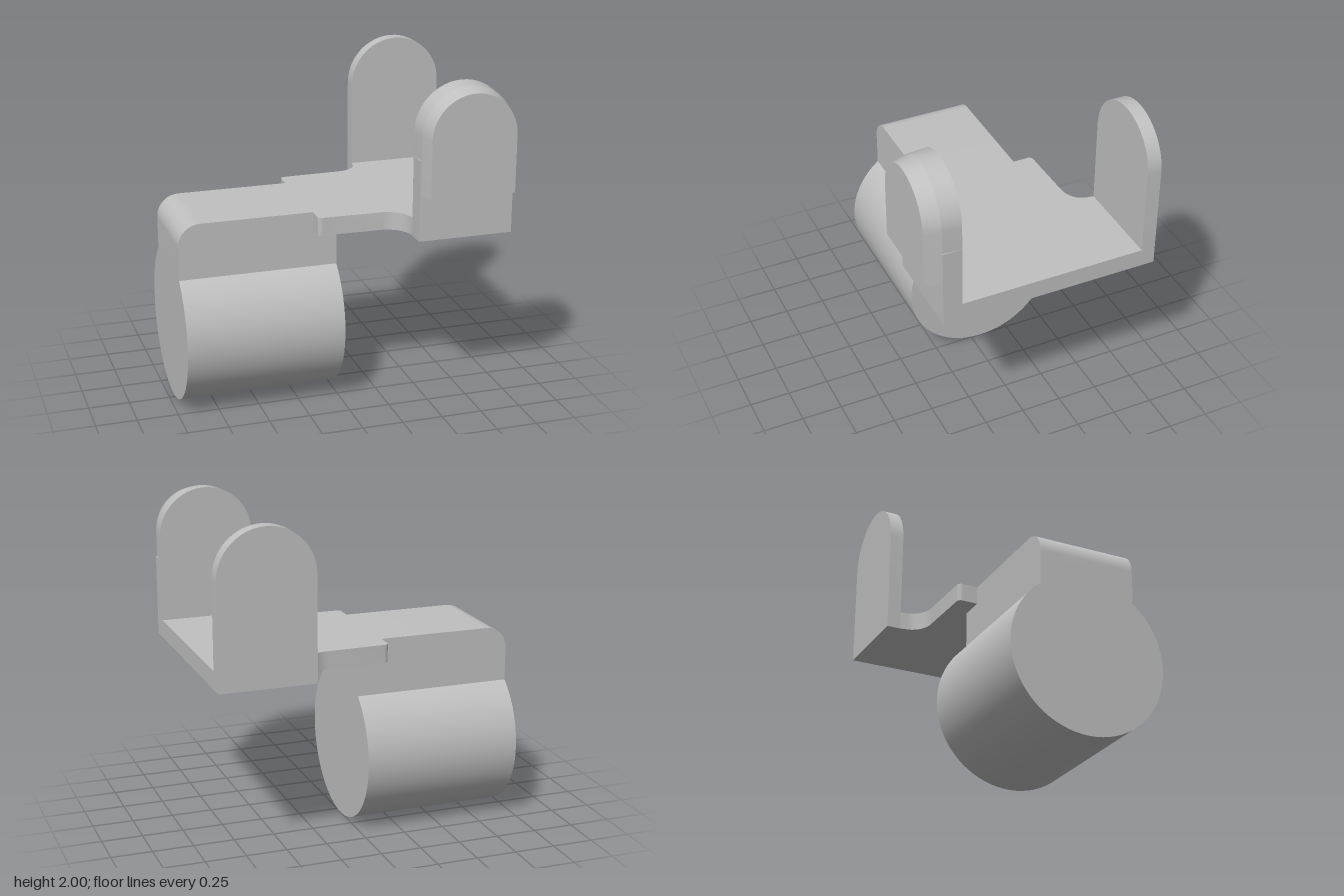
import * as THREE from 'three';
import { toCreasedNormals } from 'three/addons/utils/BufferGeometryUtils.js';

const grey = new THREE.MeshStandardMaterial({ color: 0xc0c0c0 });
grey.name = 'plain grey';

function part(name, geometry) {
  const mesh = new THREE.Mesh(toCreasedNormals(geometry, 0.45), grey);
  mesh.name = name;
  return mesh;
}

const extrude = (shape, depth) =>
  new THREE.ExtrudeGeometry(shape, { depth, bevelEnabled: false, curveSegments: 16 });

// Round-topped outline around x = 0.67, counter-clockwise from the front
function archPoints(halfWidth, bottom) {
  const points = [[0.67 + halfWidth, bottom]];
  for (let i = 0; i <= 32; i++) {
    const a = (Math.PI * i) / 32;
    points.push([0.67 + halfWidth * Math.cos(a), 1.71 + halfWidth * Math.sin(a)]);
  }
  points.push([0.67 - halfWidth, bottom]);
  return points;
}

// Solid between two arches, from z0 (back) to z1 (front)
function archLoft(z0, halfWidth0, z1, halfWidth1, bottom) {
  const back = archPoints(halfWidth0, bottom).map(([x, y]) => [x, y, z0]);
  const front = archPoints(halfWidth1, bottom).map(([x, y]) => [x, y, z1]);
  const n = back.length;
  const v = [];
  const tri = (a, b, c) => v.push(...a, ...b, ...c);
  for (let i = 0; i < n; i++) {
    const j = (i + 1) % n;
    tri(back[i], back[j], front[j]);
    tri(back[i], front[j], front[i]);
    if (i > 0 && i < n - 1) {
      tri(front[0], front[i], front[j]);
      tri(back[0], back[j], back[i]);
    }
  }
  const geometry = new THREE.BufferGeometry();
  geometry.setAttribute('position', new THREE.Float32BufferAttribute(v, 3));
  return geometry;
}

export function createModel() {
  const model = new THREE.Group();
  model.name = 'bracket';

  // Round barrel lying along x
  const barrel = new THREE.CylinderGeometry(0.475, 0.475, 0.965, 72);
  barrel.rotateZ(Math.PI / 2).translate(-0.4825, 0.475, -0.063);
  model.add(part('barrel', barrel));

  // Neck above the barrel, rounded at its outer end and stepped under the plate
  const neckShape = new THREE.Shape();
  neckShape.moveTo(-0.965, 0.85);
  neckShape.lineTo(0, 0.85);
  neckShape.lineTo(0, 1.08);
  neckShape.lineTo(-0.145, 1.08);
  neckShape.lineTo(-0.145, 1.19);
  neckShape.lineTo(-0.83, 1.19);
  neckShape.absarc(-0.83, 1.055, 0.135, Math.PI / 2, Math.PI, false);
  neckShape.closePath();
  model.add(part('neck', extrude(neckShape, 0.585).translate(0, 0, -0.355)));

  // Flat plate with rounded shoulders, drawn in x and -z
  const plateShape = new THREE.Shape();
  plateShape.moveTo(-0.147, -0.32);
  plateShape.quadraticCurveTo(-0.147, -0.345, -0.12, -0.345);
  plateShape.lineTo(0.25, -0.355);
  plateShape.bezierCurveTo(0.32, -0.365, 0.375, -0.42, 0.38, -0.5);
  plateShape.lineTo(0.96, -0.5);
  plateShape.lineTo(0.96, 0.63);
  plateShape.lineTo(0.38, 0.63);
  plateShape.lineTo(0.375, 0.6);
  plateShape.bezierCurveTo(0.37, 0.53, 0.31, 0.485, 0.23, 0.485);
  plateShape.lineTo(-0.12, 0.478);
  plateShape.quadraticCurveTo(-0.147, 0.475, -0.147, 0.45);
  plateShape.closePath();
  const plate = extrude(plateShape, 0.11).rotateX(-Math.PI / 2).translate(0, 1.08, 0);
  model.add(part('plate', plate));

  // Upright ears at the back and front
  model.add(part('backEar', archLoft(-0.715, 0.29, -0.63, 0.29, 1.08)));
  const frontBase = new THREE.BoxGeometry(0.58, 0.49, 0.115).translate(0.67, 1.325, 0.5575);
  model.add(part('frontEarBase', frontBase));
  model.add(part('frontEarTop', archLoft(0.5, 0.29, 0.615, 0.283, 1.57)));

  // Tapered pad on the outside of the front ear
  model.add(part('frontPad', archLoft(0.615, 0.283, 0.715, 0.26, 1.36)));

  return model;
}
